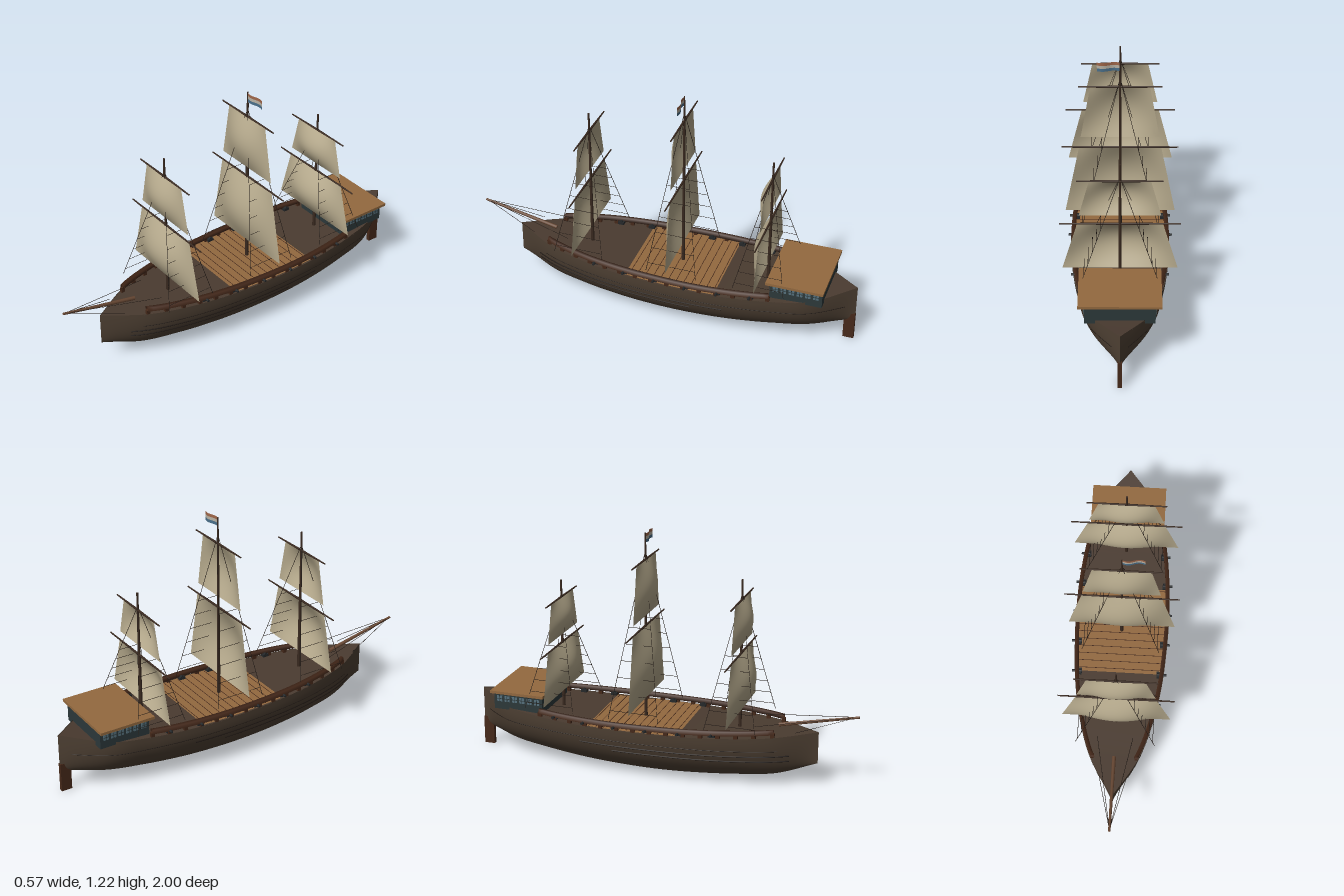
import * as THREE from 'three';

const V = (x, y, z) => new THREE.Vector3(x, y, z);
const mat = (color, side = THREE.FrontSide) => {
  const m = new THREE.MeshStandardMaterial({ side });
  m.color.set(color);
  return m;
};
const M = {
  hull: mat(0x4e4033, THREE.DoubleSide), deck: mat(0x4a3b30, THREE.DoubleSide),
  plank: mat(0x93693f, THREE.DoubleSide), rail: mat(0x46291a, THREE.DoubleSide),
  spar: mat(0x3a2a20), dark: mat(0x221a15), bowsprit: mat(0x6b4a35),
  sail: mat(0xb5a98c, THREE.DoubleSide), cabin: mat(0x2c383a), roof: mat(0x93693f),
  glass: mat(0x55707c), gun: mat(0x25282a),
};

// Hull stations every 0.2 from bow to stern: half width, keel height, sheer height
const LINES = new THREE.CatmullRomCurve3([
  V(0, .125, .29), V(.122, .05, .28), V(.188, .024, .274), V(.224, .008, .269), V(.24, 0, .266),
  V(.245, .003, .265), V(.235, .014, .267), V(.207, .034, .273), V(.155, .062, .285), V(0, .115, .31),
], false, 'catmullrom', 0.5);
const station = z => {
  const p = LINES.getPoint(THREE.MathUtils.clamp((0.8 - z) / 1.8, 0, 1));
  return { w: Math.max(p.x, 0), keel: p.y, top: p.z };
};

// Surface from rows of points, each row equally long
function loft(rows) {
  const n = rows[0].length, pos = [], idx = [];
  rows.forEach(r => r.forEach(p => pos.push(p.x, p.y, p.z)));
  for (let i = 0; i < rows.length - 1; i++) for (let j = 0; j < n - 1; j++) {
    const a = i * n + j, b = a + n;
    idx.push(a, b, a + 1, a + 1, b, b + 1);
  }
  const g = new THREE.BufferGeometry();
  g.setAttribute('position', new THREE.Float32BufferAttribute(pos, 3));
  g.setIndex(idx);
  g.computeVertexNormals();
  return g;
}
const range = (a, b, n, f) => Array.from({ length: n + 1 }, (_, i) => f(a + (b - a) * i / n));

export function createModel() {
  const root = new THREE.Group();
  const add = (name, geo, m, parent = root) => {
    const o = new THREE.Mesh(geo, m);
    o.name = name;
    parent.add(o);
    return o;
  };
  const box = (name, w, h, d, x, y, z, m, parent) => {
    const o = add(name, new THREE.BoxGeometry(w, h, d), m, parent);
    o.position.set(x, y, z);
    return o;
  };
  const rod = (name, a, b, r0, r1, m, parent, sides = 8) => {
    const d = b.clone().sub(a);
    const o = add(name, new THREE.CylinderGeometry(r1, r0, d.length(), sides), m, parent);
    o.position.copy(a).addScaledVector(d, 0.5);
    o.quaternion.setFromUnitVectors(V(0, 1, 0), d.normalize());
    return o;
  };
  const rope = (a, b, parent) => rod('rope', a, b, .0013, .0013, M.dark, parent, 4);

  // Hull: half-ellipse sections
  add('hull', loft(range(.8, -1, 72, z => {
    const s = station(z);
    return range(0, Math.PI, 32, a =>
      V(-s.w * Math.cos(a), s.top - (s.top - s.keel) * Math.sin(a), z));
  })), M.hull);

  // Decks
  const deck = (name, z0, z1, inset, lift, m) => add(name, loft(range(z0, z1, 40, z => {
    const s = station(z), w = Math.max(s.w - inset, 0);
    return [V(w, s.top + lift, z), V(-w, s.top + lift, z)].reverse();
  })), m);
  deck('deck', .8, -1, 0, -.004, M.deck);
  deck('waistDeck', .14, -.33, .008, .001, M.plank);
  for (let i = 0; i < 12; i++) {
    const z = .12 - i * .04, s = station(z);
    box('deckSeam', 2 * s.w - .03, .002, .003, 0, s.top + .001, z, M.rail);
  }

  for (const side of [1, -1]) {
    // Rail standing on short posts
    add('rail', loft(range(.6, -.6, 48, z => {
      const s = station(z), o = side * (s.w - .002), i = side * (s.w - .022), y = s.top;
      return [V(o, y + .014, z), V(o, y + .036, z), V(i, y + .036, z), V(i, y + .014, z), V(o, y + .014, z)];
    })), M.rail);
    for (let i = 0; i <= 14; i++) {
      const z = .595 - i * .085, s = station(z);
      box('railPost', .016, .024, .02, side * (s.w - .013), s.top + .008, z, M.rail);
    }
    // Cannons
    for (let i = 0; i < 6; i++) {
      const z = .31 - i * .164, s = station(z), g = new THREE.Group();
      g.name = 'cannon';
      g.position.set(side * s.w, s.top + .013, z);
      root.add(g);
      box('carriage', .03, .014, .032, side * -.022, -.003, 0, M.gun, g);
      rod('barrel', V(side * -.035, .002, 0), V(side * .014, .002, 0), .009, .006, M.gun, g, 10);
    }
    // Wales following the hull side
    for (const [y, z0, z1] of [[.175, .67, -.37], [.145, .67, -.2], [.205, .62, -.95]]) {
      const pts = range(z0, z1, 24, z => {
        const s = station(z), k = (s.top - y) / (s.top - s.keel);
        return V(side * s.w * Math.sqrt(Math.max(0, 1 - k * k)), y, z);
      });
      add('wale', new THREE.TubeGeometry(new THREE.CatmullRomCurve3(pts), 48, y > .2 ? .002 : .004, 6), M.dark);
    }
    // Bowsprit stays
    rope(V(0, .393, .99), V(side * .07, .3, .7));
    rope(V(0, .393, .99), V(side * .09, .315, .5));
  }

  rod('bowsprit', V(0, .305, .6), V(0, .393, .998), .01, .006, M.bowsprit);
  box('rudder', .02, .15, .055, 0, .075, -.9725, M.rail);

  // Stern cabin
  const cabin = new THREE.Group();
  cabin.name = 'cabin';
  root.add(cabin);
  box('cabinWalls', .33, .092, .265, 0, .316, -.728, M.cabin, cabin);
  box('cabinRoof', .39, .014, .29, 0, .368, -.725, M.roof, cabin);
  for (const side of [1, -1]) for (let i = 0; i < 6; i++) {
    box('window', .004, .03, .028, side * .166, .327, -.625 - i * .041, M.glass, cabin);
    box('windowBar', .006, .03, .003, side * .166, .327, -.625 - i * .041, M.cabin, cabin);
    box('windowBar', .006, .003, .028, side * .166, .327, -.625 - i * .041, M.cabin, cabin);
  }

  // Square sail bellying forward
  const sail = (z, y0, y1, w0, w1, belly, parent) => {
    const g = new THREE.PlaneGeometry(2, 1, 20, 16), p = g.attributes.position;
    for (let i = 0; i < p.count; i++) {
      const u = p.getX(i), v = p.getY(i) + .5;
      p.setXYZ(i, u * (w0 + (w1 - w0) * v), y0 + (y1 - y0) * v,
        z + .004 + belly * Math.cos(u * Math.PI / 2) * Math.sin(v * Math.PI));
    }
    g.computeVertexNormals();
    add('sail', g, M.sail, parent);
  };

  // Masts with yards, sails and shrouds
  const masts = [
    { name: 'foremast', z: .4, top: 1.03, tie: .96, low: [.355, .655], high: [.7, .93] },
    { name: 'mainmast', z: -.095, top: 1.16, tie: 1.13, low: [.365, .745], high: [.8, 1.085] },
    { name: 'mizzenmast', z: -.545, top: .94, tie: .87, low: [.35, .61], high: [.655, .85] },
  ];
  for (const { name, z, top, tie, low, high } of masts) {
    const g = new THREE.Group();
    g.name = name;
    root.add(g);
    rod('mast', V(0, .25, z), V(0, top, z), .009, .005, M.spar, g, 10);
    sail(z, low[0], low[1], .274, .2, .062, g);
    sail(z, high[0], high[1], .192, .142, .045, g);
    for (const [y, w] of [[low[1], .285], [high[1], .2]]) {
      rod('yard', V(0, y, z), V(w, y, z), .006, .0035, M.spar, g);
      rod('yard', V(0, y, z), V(-w, y, z), .006, .0035, M.spar, g);
    }
    const base = .305;
    for (const side of [1, -1]) {
      for (const dz of [.13, -.13]) rope(V(0, tie, z), V(side * .2, base, z + dz), g);
      // Ratlines between the fore and aft shrouds
      for (let i = 0; i < 6; i++) {
        const k = .95 - i * .1, y = tie + (base - tie) * k;
        rope(V(side * .2 * k, y, z - .13 * k), V(side * .2 * k, y, z + .13 * k), g);
      }
    }
  }

  // Flagpole and waving striped flag
  rod('flagpole', V(0, 1.15, -.095), V(0, 1.22, -.095), .004, .003, M.spar);
  [0x4a6f8a, 0xb9b2a4, 0xa0674a].forEach((color, i) => {
    const g = new THREE.PlaneGeometry(.11, .0155, 16, 1), p = g.attributes.position;
    for (let j = 0; j < p.count; j++) {
      const x = p.getX(j) + .055;
      p.setXYZ(j, x, p.getY(j) + 1.178 + i * .0155, -.095 + .006 * Math.sin(x * 57));
    }
    g.computeVertexNormals();
    add('flagStripe', g, mat(color, THREE.DoubleSide));
  });

  return root;
}
